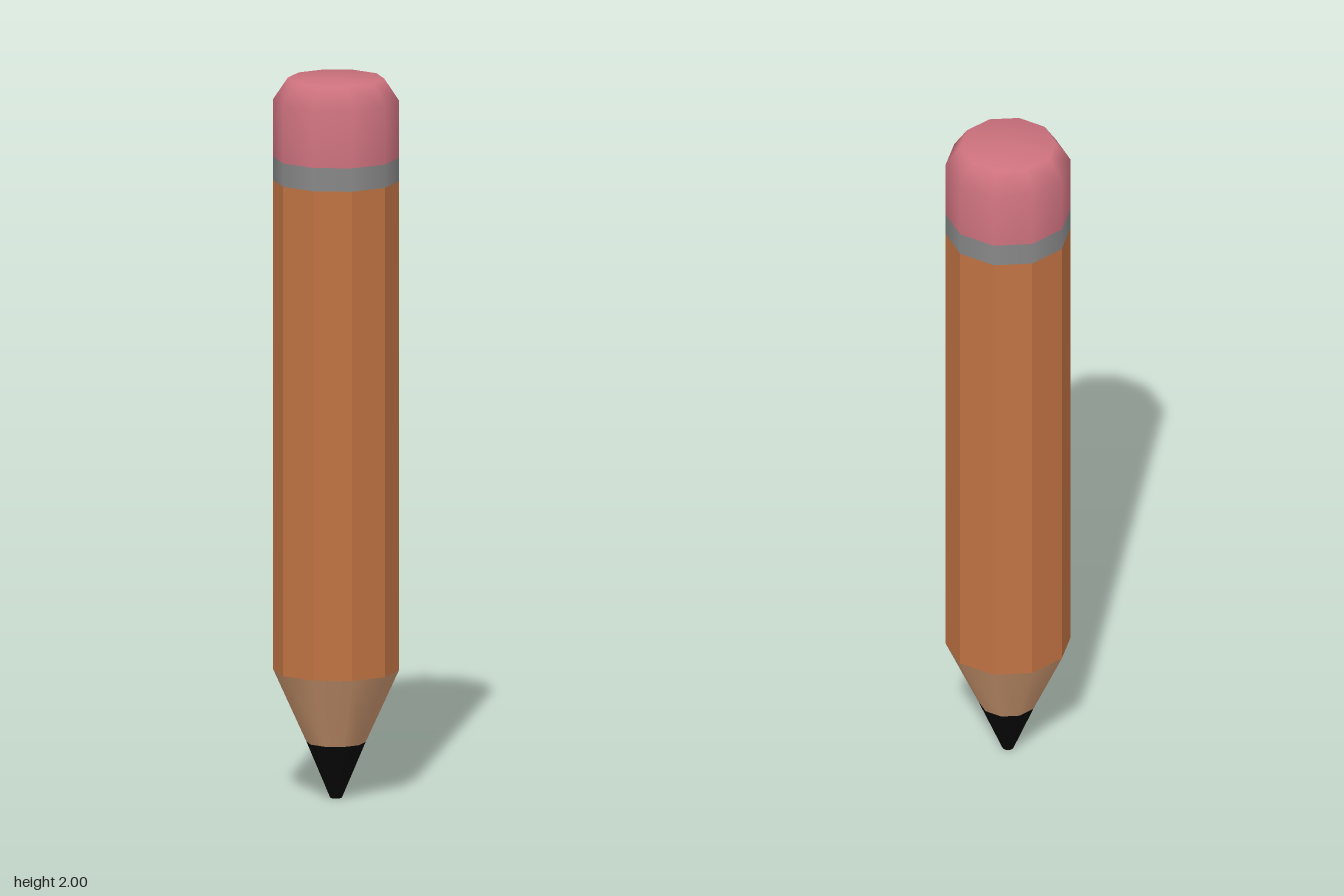
import * as THREE from 'three';

const SIDES = 10;
const RADIUS = 0.172;

function paint(name, color) {
  const material = new THREE.MeshStandardMaterial({ color });
  material.name = name;
  return material;
}

// Ten-sided, smoothly shaded part turned from [radius, height] points, bottom to top
function turned(name, profile, material) {
  const points = profile.map(([r, y]) => new THREE.Vector2(r, y));
  const mesh = new THREE.Mesh(new THREE.LatheGeometry(points, SIDES), material);
  mesh.name = name;
  return mesh;
}

export function createModel() {
  const pencil = new THREE.Group();
  pencil.name = 'pencil';

  const orange = paint('orange paint', 0xc07343);
  const wood = paint('bare wood', 0xcd9870);
  const graphite = paint('graphite', 0x080808);
  const metal = paint('grey metal', 0x888888);
  const rubber = paint('pink rubber', 0xcd727e);

  // Sharpened end
  pencil.add(turned('lead', [[0, 0], [0.016, 0], [0.081, 0.155]], graphite));
  pencil.add(turned('sharpenedWood', [[0.081, 0.155], [RADIUS, 0.355]], wood));

  // Faceted painted shaft
  const shaftGeometry = new THREE.CylinderGeometry(RADIUS, RADIUS, 1.36, SIDES, 1, true).toNonIndexed();
  shaftGeometry.computeVertexNormals();
  const shaft = new THREE.Mesh(shaftGeometry, orange);
  shaft.name = 'shaft';
  shaft.position.y = 1.035;
  pencil.add(shaft);

  // Metal band and bevelled eraser
  pencil.add(turned('band', [[RADIUS, 1.715], [RADIUS, 1.78]], metal));
  pencil.add(turned('eraser', [[RADIUS, 1.78], [RADIUS, 1.94], [0.132, 2], [0, 2]], rubber));

  return pencil;
}
